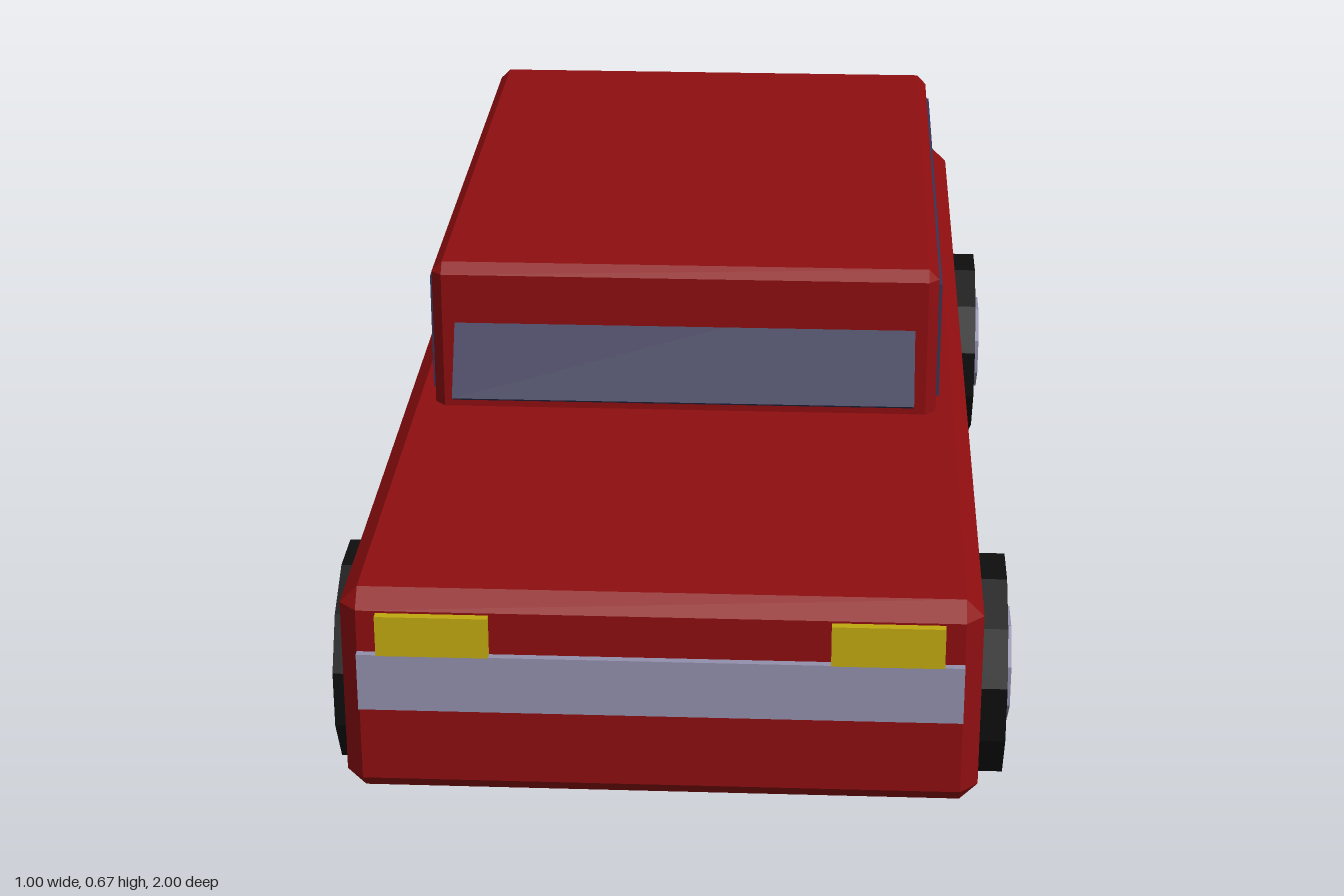
import * as THREE from 'three';
import { ConvexGeometry } from 'three/addons/geometries/ConvexGeometry.js';

const material = (name, color) => {
  const m = new THREE.MeshStandardMaterial({ color });
  m.name = name;
  return m;
};

// Box with every edge cut by a flat chamfer, given by its limits
function chamferBox(w, y0, y1, z0, z1, c) {
  const h = (y1 - y0) / 2, d = (z1 - z0) / 2, points = [];
  for (const sx of [-1, 1]) for (const sy of [-1, 1]) for (const sz of [-1, 1]) {
    points.push(
      new THREE.Vector3(sx * w / 2, sy * (h - c), sz * (d - c)),
      new THREE.Vector3(sx * (w / 2 - c), sy * h, sz * (d - c)),
      new THREE.Vector3(sx * (w / 2 - c), sy * (h - c), sz * d));
  }
  return new ConvexGeometry(points).translate(0, (y0 + y1) / 2, (z0 + z1) / 2);
}

// Prism along x with flat sides facing up and outward
function disc(apothem, width, sides) {
  const r = apothem / Math.cos(Math.PI / sides);
  return new THREE.CylinderGeometry(r, r, width, sides)
    .rotateY(Math.PI / sides).rotateZ(Math.PI / 2).toNonIndexed();
}

export function createModel() {
  const red = material('body red', 0x8f0e10);
  const glass = material('window blue', 0x363558);
  const black = material('tyre black', 0x0e0e0e);
  const grey = material('metal grey', 0x9290ac);
  const yellow = material('headlight yellow', 0xc0aa10);
  const darkRed = material('taillight red', 0x650f11);

  const car = new THREE.Group();
  car.name = 'car';
  const add = (name, geometry, mat, x = 0, y = 0, z = 0) => {
    geometry.computeVertexNormals();
    const mesh = new THREE.Mesh(geometry, mat);
    mesh.name = name;
    mesh.position.set(x, y, z);
    car.add(mesh);
    return mesh;
  };
  const box = (w, h, d) => new THREE.BoxGeometry(w, h, d);

  // Shell
  add('body', chamferBox(0.884, 0.126, 0.438, -0.988, 0.988, 0.025), red);
  add('cabin', chamferBox(0.78, 0.40, 0.672, -0.70, 0.336, 0.016), red);

  // Slanted windscreen running up into the cabin
  const screen = add('windscreen', box(0.71, 0.2, 0.016), glass, 0, 0.558, 0.338);
  screen.rotation.x = -Math.PI / 6;

  // Front bumper
  add('bumper', box(0.834, 0.085, 0.02), grey, 0, 0.308, 0.989);

  for (const [side, s] of [['left', 1], ['right', -1]]) {
    add(side + 'Window', box(0.009, 0.185, 0.945), glass, s * 0.391, 0.548, -0.172);
    add(side + 'Headlight', box(0.155, 0.06, 0.02), yellow, s * 0.312, 0.38, 0.99);
    add(side + 'Taillight', box(0.155, 0.07, 0.02), darkRed, s * 0.314, 0.375, -0.99);

    // Wheels and hubs
    for (const [end, z] of [['Front', 0.625], ['Rear', -0.648]]) {
      add(side + end + 'Tyre', disc(0.161, 0.124, 12), black, s * 0.428, 0.161, z);
      add(side + end + 'Hub', disc(0.077, 0.10, 8), grey, s * 0.45, 0.163, z);
    }
  }
  return car;
}
